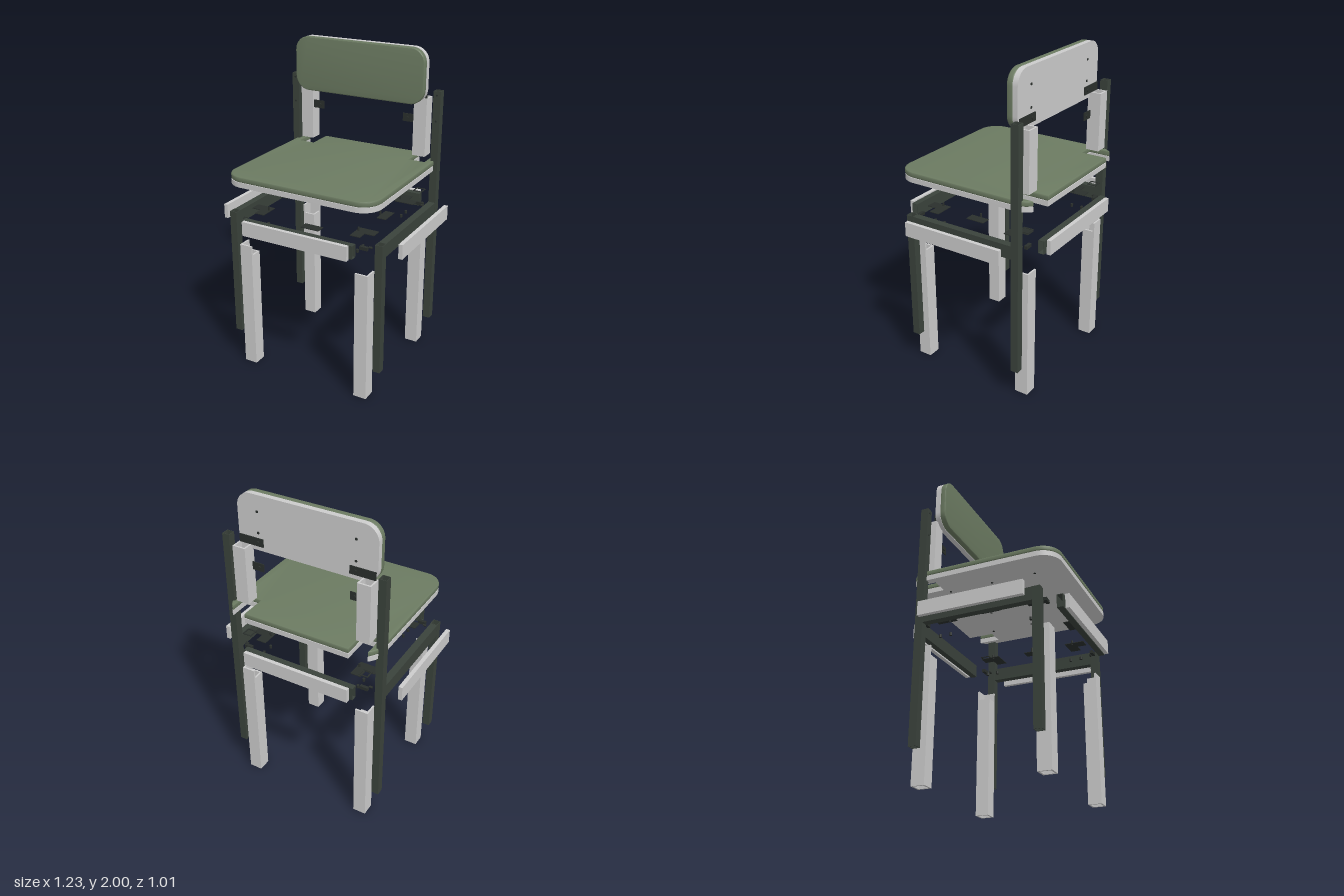
import * as THREE from 'three';
import { toCreasedNormals } from 'three/addons/utils/BufferGeometryUtils.js';

export function createModel() {
  const model = new THREE.Group();
  model.name = 'explodedChair';
  const green = new THREE.MeshStandardMaterial({ name: 'green upholstery', color: 0x6b7a61 });
  const grey = new THREE.MeshStandardMaterial({ name: 'light grey board', color: 0xcbcbcb });
  const frame = new THREE.MeshStandardMaterial({ name: 'dark frame', color: 0x3a423b });
  const metal = new THREE.MeshStandardMaterial({ name: 'dark fittings', color: 0x2a2f2c });

  function add(name, geo, mat, x = 0, y = 0, z = 0) {
    const mesh = new THREE.Mesh(geo, mat);
    mesh.name = name;
    mesh.position.set(x, y, z);
    model.add(mesh);
    return mesh;
  }
  const box = (name, mat, w, h, d, x, y, z) => add(name, new THREE.BoxGeometry(w, h, d), mat, x, y, z);

  // Rectangle outline, used for tubes and rings
  function rect(w, h) {
    return [[-w, -h], [w, -h], [w, h], [-w, h]].map(([a, b]) => new THREE.Vector2(a / 2, b / 2));
  }
  // Open rectangular tube, centred, running along one axis
  function tube(w, h, length, wall, axis) {
    const shape = new THREE.Shape(rect(w, h));
    shape.holes.push(new THREE.Path(rect(w - 2 * wall, h - 2 * wall).reverse()));
    const geo = new THREE.ExtrudeGeometry(shape, { depth: length, bevelEnabled: false });
    geo.translate(0, 0, -length / 2);
    if (axis === 'y') geo.rotateX(-Math.PI / 2);
    if (axis === 'x') geo.rotateY(Math.PI / 2);
    return geo;
  }
  // Flat slab, optionally with a softened edge
  function slab(shape, depth, bevel = 0) {
    const geo = new THREE.ExtrudeGeometry(shape, {
      depth: depth - 2 * bevel, bevelEnabled: bevel > 0, bevelSize: bevel,
      bevelThickness: bevel, bevelOffset: -bevel, bevelSegments: 3, curveSegments: 10,
    });
    geo.translate(0, 0, bevel);
    return toCreasedNormals(geo, 0.6);
  }
  function arc(cx, cy, r, from, to, n) {
    return Array.from({ length: n + 1 }, (_, i) => {
      const t = from + (to - from) * i / n;
      return new THREE.Vector2(cx + r * Math.cos(t), cy + r * Math.sin(t));
    });
  }

  // Seat: rounded board with notches for the rear posts (shape +y is the back)
  const half = [
    ...arc(0.375, -0.355, 0.12, -Math.PI / 2, 0, 10),
    ...arc(0.375, 0.355, 0.12, 0, Math.acos(0.625), 6),
    new THREE.Vector2(0.45, 0.31), new THREE.Vector2(0.345, 0.31), new THREE.Vector2(0.345, 0.478),
  ];
  const mirrored = half.map(p => new THREE.Vector2(-p.x, p.y)).reverse();
  const seatShape = new THREE.Shape([...half, ...mirrored]);
  add('seatBoard', slab(seatShape, 0.032).rotateX(-Math.PI / 2), grey, 0, 1.237, 0);
  add('seatCushion', slab(seatShape, 0.033, 0.007).rotateX(-Math.PI / 2), green, 0, 1.269, 0);

  // Backrest: board behind, cushion in front
  const backShape = new THREE.Shape([
    ...arc(0.352, -0.08, 0.09, -Math.PI / 2, 0, 10), ...arc(0.352, 0.08, 0.09, 0, Math.PI / 2, 10),
    ...arc(-0.352, 0.08, 0.09, Math.PI / 2, Math.PI, 10), ...arc(-0.352, -0.08, 0.09, Math.PI, Math.PI * 1.5, 10),
  ]);
  add('backrestBoard', slab(backShape, 0.033), grey, 0, 1.83, -0.34);
  add('backrestCushion', slab(backShape, 0.037, 0.006), green, 0, 1.83, -0.307);

  // Post cover: hollow square; an optional step leaves only the outer corner walls at the top
  const W = 0.084, WALL = 0.011;
  function postCover(name, sx, sz, bottom, top, step) {
    const h = top - bottom - step;
    add(name, tube(W, W, h, WALL, 'y'), grey, sx * 0.399, bottom + h / 2, sz * 0.372);
    if (!step) return;
    const off = (W - WALL) / 2, y = top - step / 2;
    box(name + 'OuterWall', grey, WALL, step, W, sx * (0.399 + off), y, sz * 0.372);
    box(name + 'EndWall', grey, W, step, WALL, sx * 0.399, y, sz * (0.372 + off));
  }
  function bolt(name, x, y, z, r, length, axis = 'y') {
    const geo = new THREE.CylinderGeometry(r, r, length, 8);
    if (axis === 'z') geo.rotateX(Math.PI / 2);
    if (axis === 'x') geo.rotateZ(Math.PI / 2);
    add(name, geo, metal, x, y, z);
  }
  // L-shaped corner plate with its bite towards the outer corner
  const plateShape = new THREE.Shape([
    [-0.065, -0.065], [0.06, -0.065], [0.06, 0], [0, 0], [0, 0.06], [-0.065, 0.06],
  ].map(([a, b]) => new THREE.Vector2(a, b)));

  for (const s of [1, -1]) {
    const side = s > 0 ? 'left' : 'right';
    // Dark tubular legs and side rail
    add(side + 'FrontLeg', tube(0.047, 0.049, 0.83, 0.003, 'y'), frame, s * 0.497, 0.615, 0.37);
    add(side + 'RearLeg', tube(0.047, 0.049, 1.54, 0.003, 'y'), frame, s * 0.497, 0.97, -0.372);
    add(side + 'SideRail', tube(0.045, 0.082, 0.694, 0.003, 'z'), frame, s * 0.497, 0.988, 0);
    box(side + 'SidePanel', grey, 0.025, 0.09, 0.66, s * 0.6, 0.99, 0);

    // Light post covers
    postCover(side + 'FrontPostCover', s, 1, 0, 0.832, 0.06);
    postCover(side + 'RearPostCover', s, -1, 0, 0.832, 0.06);
    postCover(side + 'UpperPostCover', s, -1, 1.325, 1.69, 0);

    // Ring between the rear post covers
    add(side + 'PostRing', tube(0.062, 0.062, 0.003, 0.008, 'y'), metal, s * 0.399, 1.086, -0.372);

    // Backrest brackets and screws
    box(side + 'UpperBracket', metal, 0.16, 0.05, 0.006, s * 0.355, 1.715, -0.347);
    box(side + 'LowerBracket', metal, 0.14, 0.05, 0.006, s * 0.35, 1.555, -0.347);
    for (const y of [1.555, 1.715]) {
      bolt(side + 'BracketScrew', s * 0.31, y, -0.347, 0.01, 0.02, 'z');
      bolt(side + 'LegScrew', s * 0.497, y, -0.347, 0.006, 0.004, 'z');
    }
    for (const y of [1.77, 1.9]) bolt(side + 'BackrestScrew', s * 0.31, y, -0.341, 0.008, 0.004, 'z');

    // Seat fixing plates
    box(side + 'SidePlate', metal, 0.06, 0.004, 0.12, s * 0.345, 1.036, 0);
    for (const e of [1, -1]) {
      const plate = slab(plateShape, 0.004);
      plate.rotateX(-Math.PI / 2);
      const mesh = add(side + 'CornerPlate', plate, metal, s * 0.36, 1.034, e * 0.3);
      mesh.rotation.y = s > 0 ? (e > 0 ? -Math.PI / 2 : 0) : (e > 0 ? Math.PI : Math.PI / 2);

      // Corner connector and its bolts
      box(side + 'CornerConnector', metal, 0.05, 0.02, 0.02, s * 0.4, 0.99, e * 0.385);
      bolt(side + 'ConnectorBolt', s * 0.43, 0.99, e * 0.36, 0.007, 0.02, 'x');
      bolt(side + 'LowerBolt', s * 0.33, 0.935, e * 0.33, 0.009, 0.018);
      bolt(side + 'LowerSideBolt', s * 0.33, 0.935, e * 0.26, 0.009, 0.018);
    }
    for (const z of [0.28, 0, -0.28]) {
      bolt(side + 'SeatBolt', s * 0.31, 1.045, z, 0.006, 0.03);
      bolt(side + 'SeatSocket', s * 0.31, 1.237, z, 0.008, 0.004);
    }

    // Front and rear rails with their cover panels
    const end = s > 0 ? 'front' : 'rear';
    add(end + 'Rail', tube(0.038, 0.082, 0.745, 0.003, 'x'), frame, 0, 0.99, s * 0.455);
    box(end + 'Panel', grey, 0.706, 0.09, 0.025, 0, 0.99, s * 0.493);
  }
  box('frontPlate', metal, 0.12, 0.004, 0.06, 0.05, 1.036, 0.37);
  return model;
}
